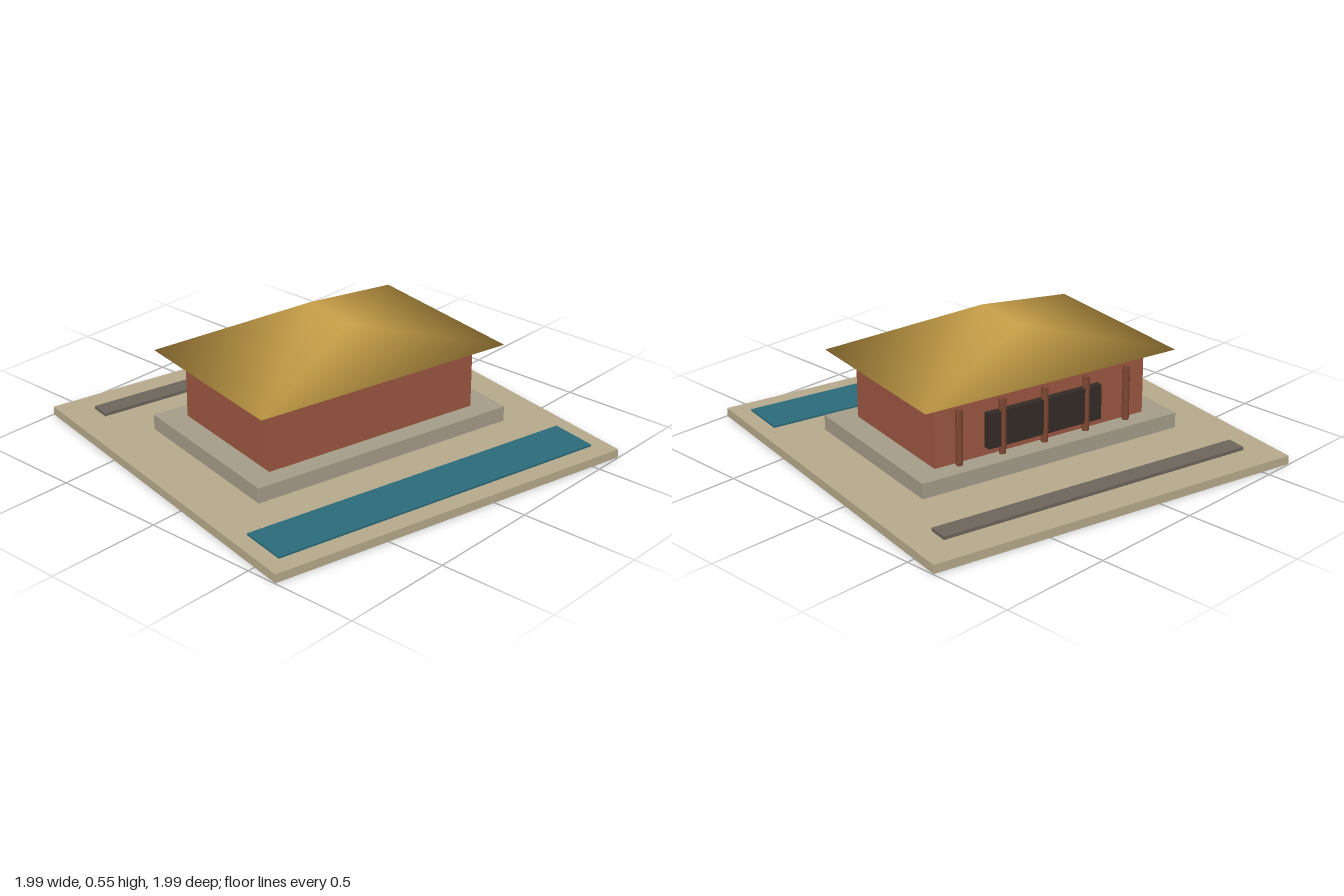
import * as THREE from 'three';

const mat = (color) => new THREE.MeshStandardMaterial({ color });

// Box given by its size, bottom height and centre depth
function slab(name, w, d, y0, y1, z, color) {
  const mesh = new THREE.Mesh(new THREE.BoxGeometry(w, y1 - y0, d), mat(color));
  mesh.position.set(0, (y0 + y1) / 2, z);
  mesh.name = name;
  return mesh;
}

// Closed hipped roof with a short ridge running front to back, smoothly shaded
function hippedRoof(halfW, halfD, halfRidge, y0, y1) {
  const geo = new THREE.BufferGeometry();
  geo.setAttribute('position', new THREE.Float32BufferAttribute([
    -halfW, y0, halfD, // 0 front right eave
    halfW, y0, halfD, // 1 front left eave
    halfW, y0, -halfD, // 2 back left eave
    -halfW, y0, -halfD, // 3 back right eave
    0, y1, halfRidge, // 4 ridge front
    0, y1, -halfRidge, // 5 ridge back
  ], 3));
  geo.setIndex([
    0, 1, 4, 2, 3, 5, // hip ends
    1, 2, 4, 2, 5, 4, // left slope
    3, 0, 5, 0, 4, 5, // right slope
    0, 3, 1, 3, 2, 1, // underside
  ]);
  geo.computeVertexNormals();
  return geo;
}

export function createModel() {
  const model = new THREE.Group();
  model.name = 'pavilion';

  // The whole site is turned slightly about the vertical axis
  const site = new THREE.Group();
  site.name = 'site';
  site.rotation.y = -0.22;
  model.add(site);

  // Ground, pool in front, paved strip behind, plinth and hall
  site.add(
    slab('courtyard', 1.67, 1.67, 0, 0.037, 0, 0xb5a88a),
    slab('pool', 1.527, 0.21, 0.033, 0.045, 0.647, 0x2b6a78),
    slab('backPath', 1.418, 0.086, 0.043, 0.057, -0.66, 0x6b645a),
    slab('plinth', 1.216, 0.774, 0.05, 0.115, 0, 0xa39b87),
    slab('hallWalls', 1.0, 0.6, 0.115, 0.368, 0, 0x9a5540),
    slab('doorScreen', 0.54, 0.04, 0.15, 0.3, -0.31, 0x332a26),
  );

  // Row of columns along the back wall
  const columns = new THREE.Group();
  columns.name = 'columns';
  const columnGeo = new THREE.CylinderGeometry(0.015, 0.015, 0.235, 8);
  const columnMat = mat(0x7d4632);
  for (let i = -2; i <= 2; i++) {
    const column = new THREE.Mesh(columnGeo, columnMat);
    column.name = 'column';
    column.position.set(i * 0.2, 0.2325, -0.32);
    columns.add(column);
  }
  site.add(columns);

  // Roof
  const roof = new THREE.Mesh(hippedRoof(0.592, 0.39, 0.135, 0.4, 0.553), mat(0xc9a048));
  roof.name = 'roof';
  site.add(roof);

  return model;
}
